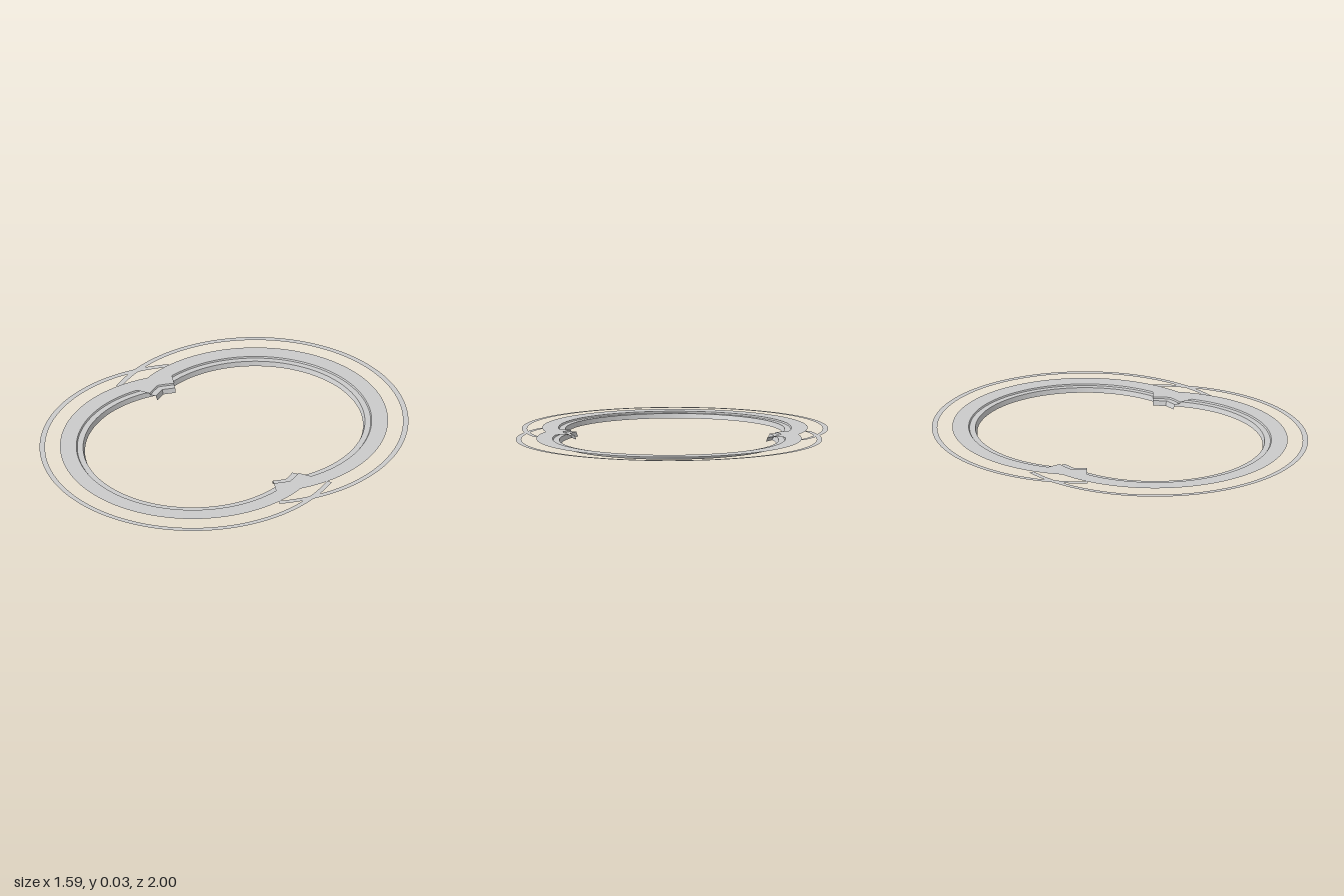
import * as THREE from 'three';
import { toCreasedNormals } from 'three/addons/utils/BufferGeometryUtils.js';

const HALF_ARC = THREE.MathUtils.degToRad(118); // each ring runs 28 degrees past its half circle
const CENTRE = 0.204;

// Sweeps an [r, y] profile around the ring's open arc
function arc(name, profile, material) {
  const points = profile.map(([r, y]) => new THREE.Vector2(r, y));
  const geometry = new THREE.LatheGeometry(points, 96, -HALF_ARC, 2 * HALF_ARC);
  const mesh = new THREE.Mesh(toCreasedNormals(geometry, 0.5), material);
  mesh.name = name;
  return mesh;
}

export function createModel() {
  const model = new THREE.Group();
  model.name = 'doubleRingFrame';
  const material = new THREE.MeshStandardMaterial({ color: 0xcccccc, side: THREE.DoubleSide });

  // Flat band, small step, ledge and tapered inner wall
  const band = [[0.69, 0.031], [0.605, 0.031], [0.6, 0.024], [0.57, 0.024], [0.56, 0]];
  // Thin flat outer hoop
  const hoop = [[0.796, 0.026], [0.768, 0.026]];

  // Front and back halves overlap at the sides
  for (const [name, turn] of [['frontHalf', 0], ['backHalf', Math.PI]]) {
    const ring = new THREE.Group();
    ring.name = name;
    ring.add(arc('band', band, material), arc('outerHoop', hoop, material));
    ring.rotation.y = turn;
    ring.position.z = CENTRE * Math.cos(turn);
    model.add(ring);
  }
  return model;
}
